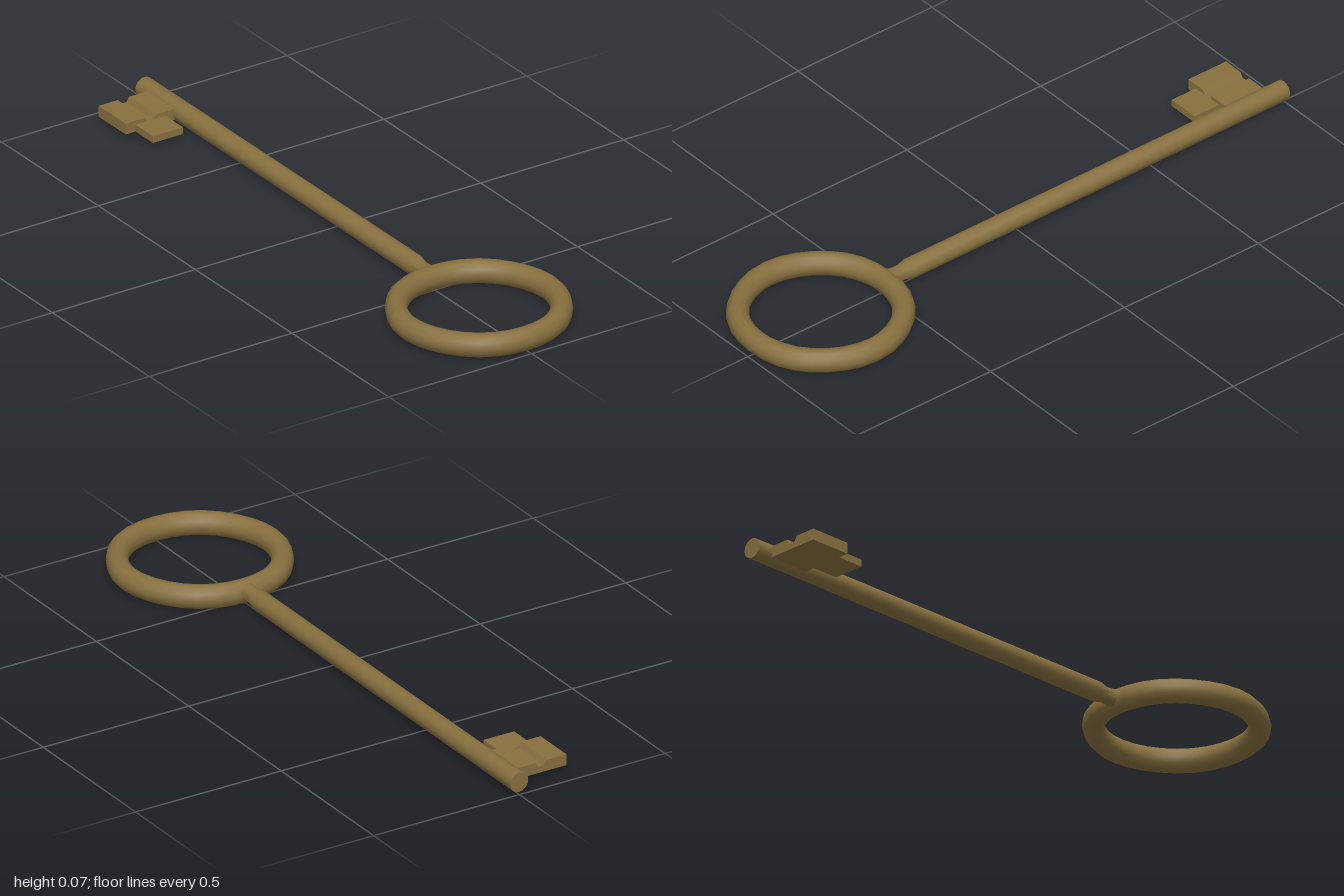
import * as THREE from 'three';
import { mergeVertices, toCreasedNormals } from 'three/addons/utils/BufferGeometryUtils.js';

const brass = new THREE.MeshStandardMaterial({ color: 0x87703f });

function part(name, geometry, x = 0, y = 0, z = 0) {
  const mesh = new THREE.Mesh(geometry, brass);
  mesh.name = name;
  mesh.position.set(x, y, z);
  return mesh;
}

// Ring handle: round inside, slightly uneven outside
function bowGeometry() {
  const geo = new THREE.TorusGeometry(1, 0.1, 12, 32);
  const p = geo.attributes.position;
  for (let i = 0; i < p.count; i++) {
    const a = Math.atan2(p.getY(i), p.getX(i));
    const across = (Math.hypot(p.getX(i), p.getY(i)) - 1) / 0.1;
    const t = 0.034 + 0.0005 * Math.cos(2 * a) + 0.001 * Math.cos(6 * a);
    const r = 0.207 + t * (1 + across);
    p.setXYZ(i, r * Math.cos(a), r * Math.sin(a), p.getZ(i) * 0.365);
  }
  geo.rotateX(Math.PI / 2);
  geo.deleteAttribute('uv');
  geo.deleteAttribute('normal');
  const merged = mergeVertices(geo);
  merged.computeVertexNormals();
  return merged;
}

// Flat profile in x and y, extruded from z0 to z1
function plate(name, points, z0, z1) {
  const shape = new THREE.Shape(points.map(([x, y]) => new THREE.Vector2(x, y)));
  return part(name, new THREE.ExtrudeGeometry(shape, { depth: z1 - z0, bevelEnabled: false }), 0, 0, z0);
}

export function createModel() {
  const key = new THREE.Group();
  key.name = 'key';

  key.add(part('bow', bowGeometry(), 0, 0.0365, 0.728));

  // Round shank with a narrow neck running into the ring
  const profile = [[0, -1], [0.031, -1], [0.031, 0.4], [0.024, 0.43], [0.025, 0.45], [0.029, 0.48], [0, 0.48]]
    .map(([r, z]) => new THREE.Vector2(r, z));
  const shank = toCreasedNormals(new THREE.LatheGeometry(profile, 16), 0.7);
  shank.rotateX(Math.PI / 2);
  key.add(part('shank', shank, 0, 0.04, 0));

  // Bit with a groove along its top, and the smaller tooth beside it
  key.add(plate('bit', [
    [-0.02, 0.02], [-0.02, 0.055], [-0.09, 0.055], [-0.1, 0.04], [-0.12, 0.04],
    [-0.13, 0.055], [-0.197, 0.055], [-0.197, 0.02],
  ], -0.945, -0.805));
  key.add(plate('tooth', [[-0.058, 0.02], [-0.058, 0.042], [-0.163, 0.042], [-0.163, 0.02]], -0.81, -0.715));

  return key;
}
